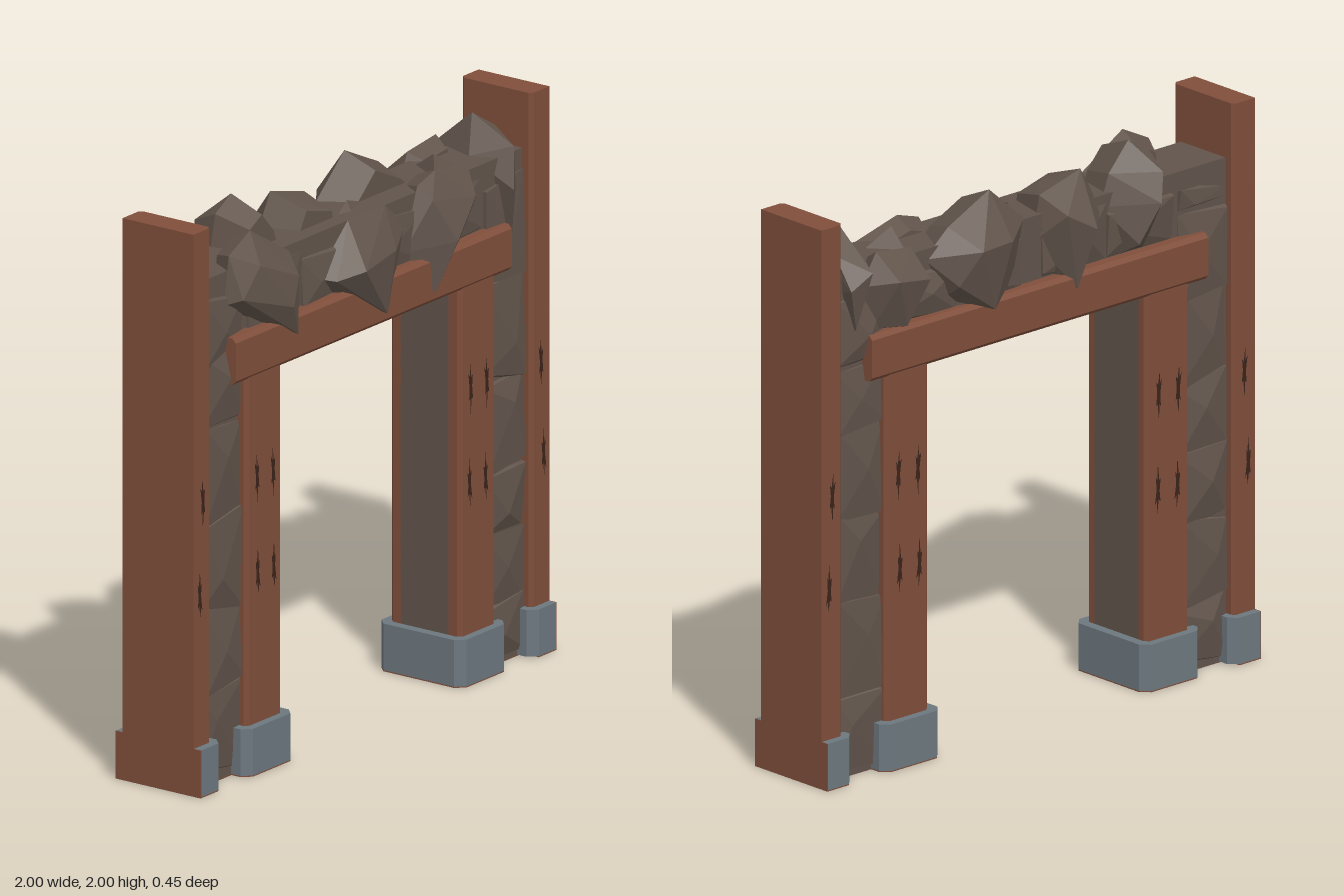
import * as THREE from 'three';
import { ConvexGeometry } from 'three/addons/geometries/ConvexGeometry.js';

export function createModel() {
  const root = new THREE.Group();
  root.name = 'mineGate';
  const mat = (name, color, extra = {}) => {
    const m = new THREE.MeshStandardMaterial({ color, ...extra });
    m.name = name;
    return m;
  };
  const wood = mat('wood', 0x7f4e3a);
  const stone = mat('stone', 0x61544b, { flatShading: true });
  const metal = mat('metal', 0x6c777e);
  const grain = mat('woodGrain', 0x3a231a, { side: THREE.DoubleSide });

  const add = (name, geo, material) => {
    const mesh = new THREE.Mesh(geo, material);
    mesh.name = name;
    root.add(mesh);
    return mesh;
  };
  const box = (name, m, x0, x1, y0, y1, z0, z1) => {
    const g = new THREE.BoxGeometry(Math.abs(x1 - x0), y1 - y0, Math.abs(z1 - z0));
    g.translate((x0 + x1) / 2, (y0 + y1) / 2, (z0 + z1) / 2);
    return add(name, g, m);
  };
  const shapeOf = pts => new THREE.Shape(pts.map(p => new THREE.Vector2(p[0], p[1])));
  // Upright prism from an x,z plan
  const prism = (name, m, plan, y0, y1) => {
    const g = new THREE.ExtrudeGeometry(shapeOf(plan.map(p => [p[0], -p[1]])), { depth: y1 - y0, bevelEnabled: false });
    g.rotateX(-Math.PI / 2).translate(0, y0, 0);
    return add(name, g, m);
  };
  let seed = 11;
  const rnd = (a, b) => {
    seed = (seed * 16807) % 2147483647;
    return a + (b - a) * seed / 2147483647;
  };
  const hull = (name, pts) =>
    add(name, new ConvexGeometry(pts.map(p => new THREE.Vector3(...p))), stone);

  // Stone core: two pillars and the top span
  for (const s of [1, -1]) box('stonePillar', stone, s * 0.5, s * 0.9, 0, 1.42, -0.11, 0.11);
  box('stoneSpan', stone, -0.9, 0.9, 1.42, 1.8, -0.11, 0.11);

  // Shallow facing stone with a tilted, faceted front
  const slab = (x0, x1, y0, y1, f) => {
    const pts = [];
    for (const x of [x0, x1]) for (const y of [y0, y1]) {
      pts.push([x, y, f * 0.09], [x, y + rnd(-0.03, 0.03), f * rnd(0.108, 0.128)]);
    }
    pts.push([x0 + (x1 - x0) * rnd(0.25, 0.75), y0 + (y1 - y0) * rnd(0.3, 0.7), f * rnd(0.128, 0.145)]);
    hull('facingStone', pts);
  };
  for (const s of [1, -1]) for (const f of [1, -1]) {
    let y = 0.03;
    while (y < 1.68) {
      const h = rnd(0.2, 0.34);
      slab(s * 0.68, s * 0.899, y, Math.min(y + h, 1.72), f);
      y += h;
    }
    for (const x of [0.05, 0.35]) slab(s * x, s * (x + 0.3), 1.56, 1.74, f);
  }

  // Wooden posts, with their outer faces flush at the ends
  for (const s of [1, -1]) {
    prism('outerPost', wood, [[1, -0.15], [1, 0.15], [0.913, 0.15], [0.9, 0.137], [0.9, -0.137], [0.913, -0.15]]
      .map(p => [s * p[0], p[1]]), 0.002, 2);
    prism('outerFoot', metal, [[0.996, -0.18], [0.996, 0.18], [0.9, 0.18], [0.87, 0.15], [0.87, 0.11],
      [0.9, 0.11], [0.9, -0.11], [0.87, -0.11], [0.87, -0.15], [0.9, -0.18]]
      .map(p => [s * p[0], p[1]]), 0.004, 0.17);
    box('footSide', wood, s * 0.996, s, 0, 0.17, -0.18, 0.18);
    box('footBottom', wood, s * 0.9, s * 0.996, 0, 0.004, -0.18, 0.18);

    const foot = [[0.495, -0.18], [0.705, -0.18], [0.735, -0.15], [0.735, 0.15], [0.705, 0.18],
      [0.495, 0.18], [0.465, 0.15], [0.465, -0.15]].map(p => [s * p[0], p[1]]);
    prism('innerFoot', metal, foot, 0.004, 0.17);
    prism('innerFootBottom', wood, foot, 0, 0.004);
    box('pillarBottom', wood, s * 0.735, s * 0.9, -0.001, 0.004, -0.11, 0.11);
    for (const f of [1, -1]) {
      prism('innerPost', wood, [[0.5, 0.1], [0.7, 0.1], [0.7, 0.135], [0.685, 0.15], [0.515, 0.15], [0.5, 0.135]]
        .map(p => [s * p[0], f * p[1]]), 0.1, 1.42);
    }
  }

  // Lintel beams with beveled edges, front and back, and the soffit board
  for (const f of [1, -1]) {
    const profile = [[0.1, 1.405], [0.145, 1.405], [0.16, 1.42], [0.16, 1.555], [0.145, 1.57], [0.1, 1.57]]
      .map(p => [-f * p[0], p[1]]);
    const g = new THREE.ExtrudeGeometry(shapeOf(profile), { depth: 1.55, bevelEnabled: false });
    g.rotateY(Math.PI / 2).translate(-0.775, 0, 0);
    add('lintelBeam', g, wood);
  }
  box('soffit', wood, -0.52, 0.52, 1.395, 1.43, -0.12, 0.12);

  // Dark grain cracks on the posts
  const crack = [[0, -0.09], [0.006, -0.03], [0.013, -0.035], [0.008, 0.01], [0.012, 0.05], [0.004, 0.04],
    [-0.003, 0.09], [-0.005, 0.045], [-0.014, 0.06], [-0.006, 0.005], [-0.009, -0.04], [-0.003, -0.03]];
  const crackGeo = new THREE.ShapeGeometry(shapeOf(crack));
  for (const f of [1, -1]) for (const s of [1, -1]) {
    const marks = [[0.555, 1.04], [0.645, 1.04], [0.55, 0.71], [0.64, 0.71], [0.95, 1.03], [0.966, 0.71]];
    for (const [x, y] of marks) {
      const m = add('grainCrack', crackGeo, grain);
      m.position.set(s * x, y, f * 0.152);
      if (y < 0.9) m.rotation.z = Math.PI;
    }
  }

  // Boulder: an x,y outline at zMid, a smaller copy at zIn, and outer ridge points
  const boulder = (outline, ridge, zMid, zIn) => {
    const n = outline.length;
    const cx = outline.reduce((a, p) => a + p[0], 0) / n, cy = outline.reduce((a, p) => a + p[1], 0) / n;
    const pts = [...ridge];
    for (const [x, y] of outline) {
      pts.push([x, y, zMid], [cx + (x - cx) * 0.75, cy + (y - cy) * 0.75, zIn]);
    }
    hull('boulder', pts);
  };
  // Front boulders
  boulder([[-0.75, 1.85], [-0.63, 1.91], [-0.55, 1.85], [-0.41, 1.78], [-0.38, 1.69], [-0.6, 1.58], [-0.775, 1.68]],
    [[-0.74, 1.7, 0.165], [-0.5, 1.62, 0.2], [-0.65, 1.8, 0.17], [-0.43, 1.5, 0.165], [-0.46, 1.72, 0.19]], 0.11, 0.03);
  boulder([[-0.26, 1.64], [-0.12, 1.75], [-0.08, 1.8], [0.13, 1.8], [0.24, 1.7], [0.14, 1.61], [-0.18, 1.57]],
    [[-0.12, 1.65, 0.22], [0.07, 1.44, 0.165], [0.1, 1.66, 0.18], [-0.22, 1.63, 0.17]], 0.11, 0.03);
  boulder([[0.23, 1.6], [0.31, 1.82], [0.41, 1.85], [0.6, 1.8], [0.64, 1.69], [0.55, 1.57]],
    [[0.4, 1.62, 0.215], [0.34, 1.44, 0.165], [0.56, 1.73, 0.17], [0.33, 1.77, 0.16]], 0.11, 0.03);
  // Boulder straddling the right end
  hull('boulder', [[0.79, 1.93, -0.02], [0.87, 1.86, -0.08], [0.87, 1.87, 0.02], [0.72, 1.8, 0.02], [0.8, 1.84, 0.15],
    [0.85, 1.68, 0.12], [0.79, 1.53, 0.15], [0.76, 1.7, 0.18], [0.78, 1.8, -0.17], [0.87, 1.75, -0.16], [0.83, 1.6, -0.14]]);
  // Back boulders
  boulder([[-0.6, 1.72], [-0.56, 1.91], [-0.47, 1.96], [-0.38, 1.86], [-0.34, 1.75], [-0.4, 1.56], [-0.54, 1.56]],
    [[-0.5, 1.76, -0.225], [-0.53, 1.86, -0.2], [-0.43, 1.62, -0.19], [-0.47, 1.9, 0]], -0.09, 0.04);
  boulder([[-0.34, 1.75], [-0.25, 1.91], [-0.06, 1.86], [-0.03, 1.7], [-0.12, 1.53], [-0.27, 1.56]],
    [[-0.2, 1.74, -0.23], [-0.1, 1.8, -0.19], [-0.17, 1.52, -0.165], [-0.16, 1.86, 0.02]], -0.09, 0.05);
  boulder([[0.02, 1.8], [0.18, 1.94], [0.37, 1.85], [0.48, 1.76], [0.4, 1.6], [0.2, 1.52], [0.06, 1.62]],
    [[0.17, 1.78, -0.21], [0.32, 1.78, -0.225], [0.22, 1.54, -0.175], [0.39, 1.66, -0.18]], -0.1, 0.02);
  boulder([[0.5, 1.7], [0.56, 1.83], [0.72, 1.85], [0.79, 1.74], [0.74, 1.58], [0.58, 1.55]],
    [[0.56, 1.74, -0.22], [0.7, 1.76, -0.22], [0.63, 1.58, -0.18]], -0.12, -0.06);
  // Low rubble on the top
  hull('rubble', [[-0.07, 1.79, 0.05], [0.02, 1.83, 0.03], [0.14, 1.79, 0.02], [0.0, 1.79, 0.07]]);
  hull('rubble', [[0.45, 1.79, 0.08], [0.52, 1.86, 0.02], [0.64, 1.79, 0.04], [0.54, 1.79, -0.08]]);

  // Rocks poking through the soffit
  hull('soffitRock', [[-0.5, 1.42, -0.06], [-0.49, 1.37, 0], [-0.43, 1.38, 0.05], [-0.36, 1.42, 0.06], [-0.42, 1.42, -0.08]]);
  hull('soffitRock', [[-0.08, 1.41, 0], [0.0, 1.37, 0.04], [0.08, 1.36, 0.0], [0.2, 1.375, 0.03], [0.28, 1.41, 0.08],
    [0.1, 1.41, -0.07]]);
  hull('soffitRock', [[0.22, 1.41, -0.06], [0.4, 1.36, -0.03], [0.5, 1.37, 0.0], [0.5, 1.42, -0.09], [0.42, 1.41, 0.05]]);

  return root;
}
